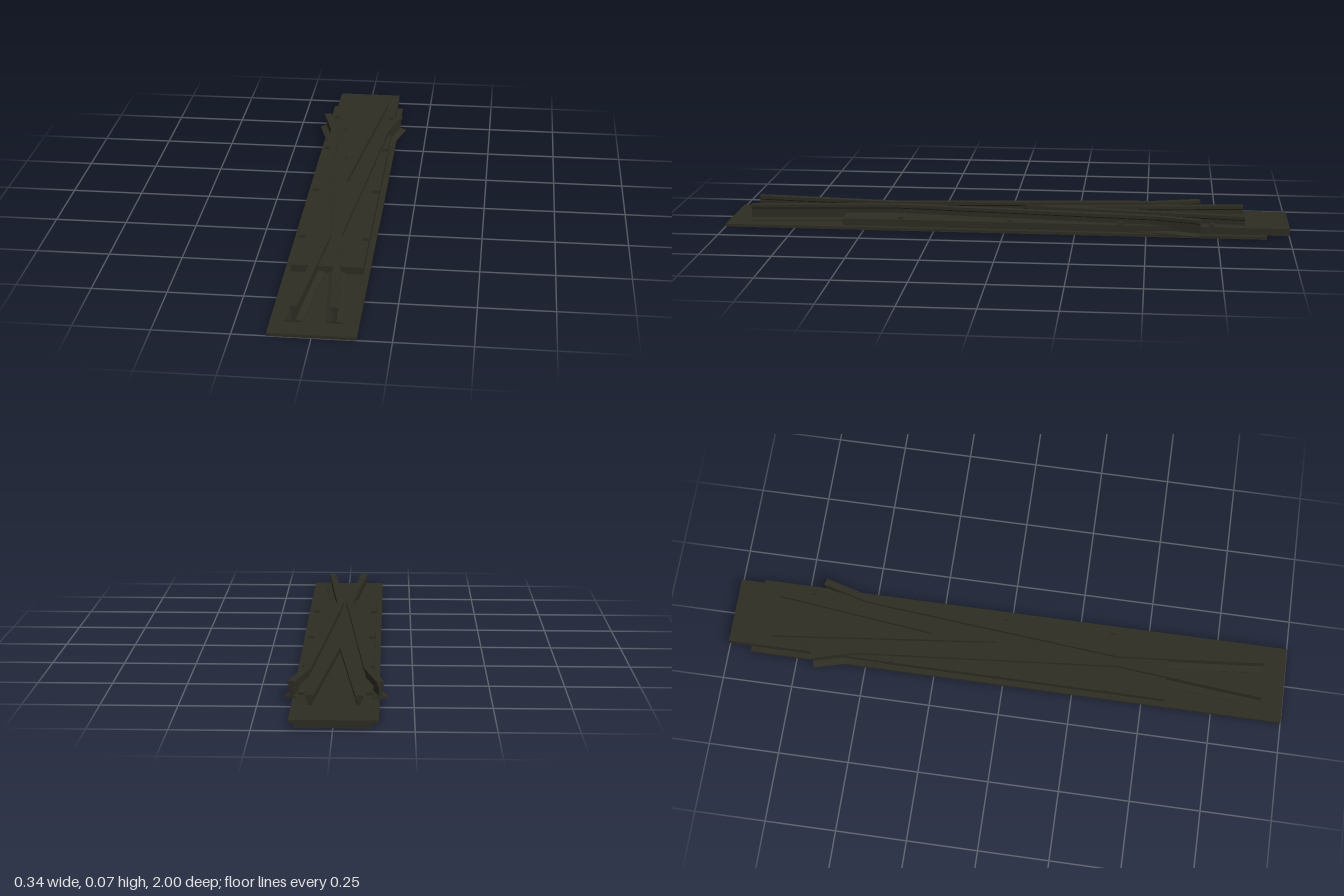
import * as THREE from 'three';

const iron = new THREE.MeshStandardMaterial({ color: 0x2e2d23 });
iron.name = 'dark iron';

// Rail cross-section [offset, height], counter-clockwise: foot, web, head
const half = [[0.029, 0.01], [0.029, 0.013], [0.006, 0.019], [0.006, 0.051], [0.0125, 0.056], [0.0125, 0.067]];
const profile = [...half, ...half.slice().reverse().map(([o, y]) => [-o, y])];

// Sweeps the rail profile through sections [x, z, dx, dz]; (dx, dz) is the offset direction
function railGeometry(sections) {
  const n = profile.length, positions = [], index = [];
  for (const [x, z, dx, dz] of sections)
    for (const [o, y] of profile) positions.push(x + o * dx, y, z + o * dz);
  for (let i = 0; i < sections.length - 1; i++)
    for (let j = 0; j < n; j++) {
      const a = i * n + j, b = i * n + (j + 1) % n, c = b + n, d = a + n;
      index.push(a, d, c, a, c, b);
    }
  const last = (sections.length - 1) * n;
  const caps = THREE.ShapeUtils.triangulateShape(profile.map(([o, y]) => new THREE.Vector2(o, y)), []);
  for (const [a, b, c] of caps) index.push(a, b, c, last + a, last + c, last + b);
  const g = new THREE.BufferGeometry();
  g.setAttribute('position', new THREE.Float32BufferAttribute(positions, 3));
  g.setIndex(index);
  const flat = g.toNonIndexed();
  flat.computeVertexNormals();
  return flat;
}

export function createModel() {
  const model = new THREE.Group();
  model.name = 'railCrossing';

  const add = (name, geometry) => {
    const mesh = new THREE.Mesh(geometry, iron);
    mesh.name = name;
    model.add(mesh);
    return mesh;
  };
  const box = (name, x0, x1, y0, y1, z0, z1) =>
    add(name, new THREE.BoxGeometry(x1 - x0, y1 - y0, z1 - z0))
      .position.set((x0 + x1) / 2, (y0 + y1) / 2, (z0 + z1) / 2);

  // Thin base and the thicker plate offset towards the back
  box('basePlate', -0.14, 0.14, 0, 0.01, -0.92, 1);
  box('upperPlate', -0.12, 0.12, 0.01, 0.035, -1, 0.58);

  const slope = 0.1123;
  for (const s of [1, -1]) {
    const side = s > 0 ? 'left' : 'right';

    // Wing rail: closes in to the throat, opens again, then flares out
    add(side + 'WingRail', railGeometry([
      [s * 0.065, 0.92, 1, 0],
      [s * 0.018, 0.4, 1, 0],
      [s * 0.1, -0.53, 1, 0],
      [s * 0.143, -0.69, 0.965, s * 0.26],
    ]));

    // Point rail: mitred on the centre line so the pair forms a V
    add(side + 'PointRail', railGeometry([
      [0, -0.155, 0, s / slope],
      [s * 0.0775, -0.845, 1, 0],
    ]));

    // Small fixing lugs along the plate edge
    for (const z of [-0.73, -0.41, -0.02, 0.37])
      box(side + 'Lug', s * 0.11 - 0.011, s * 0.11 + 0.011, 0.035, 0.045, z - 0.008, z + 0.008);
  }
  return model;
}
